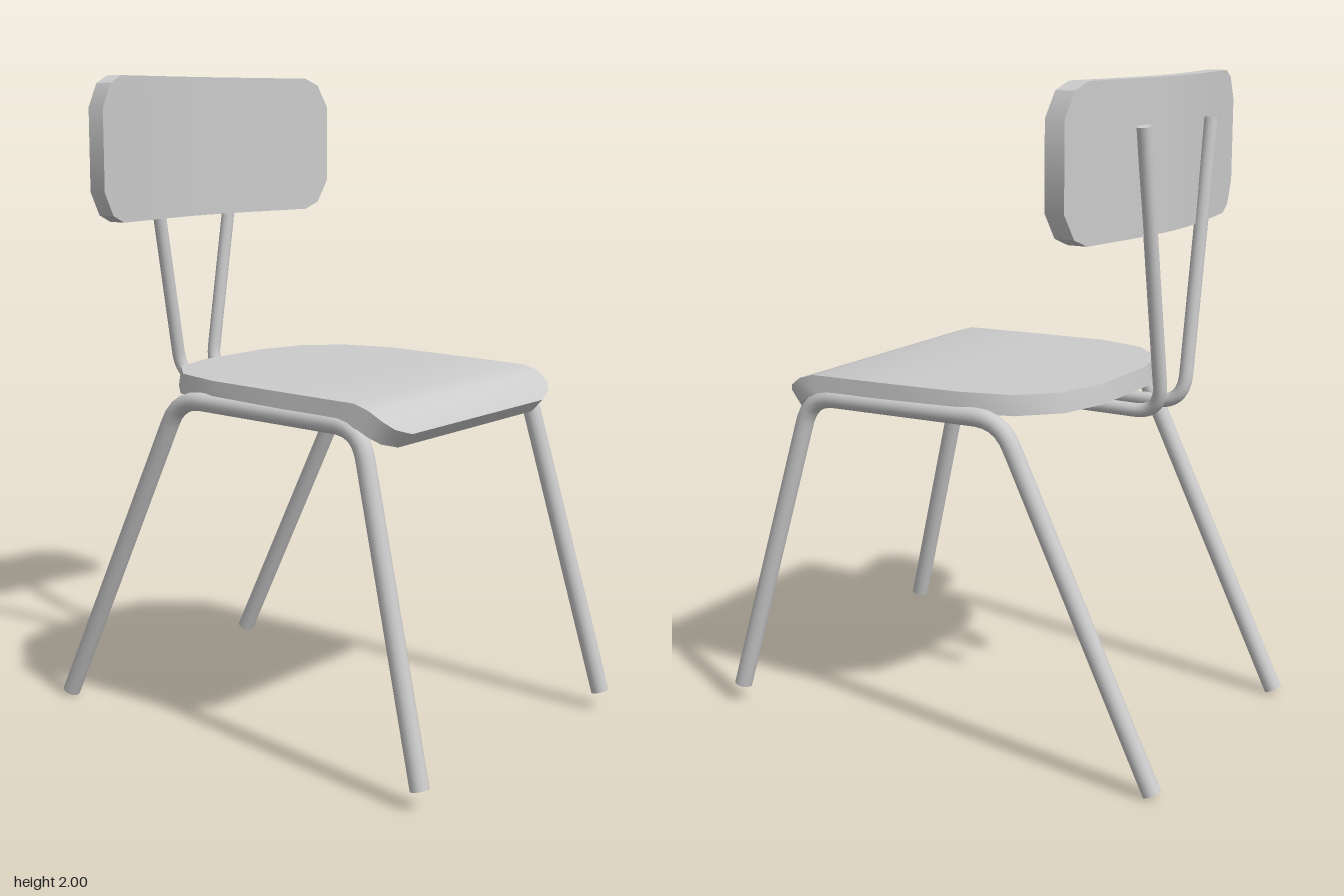
import * as THREE from 'three';
import { toCreasedNormals } from 'three/addons/utils/BufferGeometryUtils.js';

const material = new THREE.MeshStandardMaterial({ color: 0xcccccc });
const V = (x, y, z) => new THREE.Vector3(x, y, z);

// Solid skinned over four-cornered sections, each counterclockwise seen from the last one
function loft(name, sections) {
  const pos = [];
  const quad = (a, b, c, d) => [a, b, c, a, c, d].forEach((p) => pos.push(p.x, p.y, p.z));
  for (let i = 0; i < sections.length - 1; i++) {
    const s = sections[i], t = sections[i + 1];
    for (let j = 0; j < 4; j++) {
      const k = (j + 1) % 4;
      quad(s[j], s[k], t[k], t[j]);
    }
  }
  quad(...[...sections[0]].reverse());
  quad(...sections[sections.length - 1]);
  const geometry = new THREE.BufferGeometry();
  geometry.setAttribute('position', new THREE.Float32BufferAttribute(pos, 3));
  const mesh = new THREE.Mesh(toCreasedNormals(geometry, 0.6), material);
  mesh.name = name;
  return mesh;
}

// Bent tube through corner points, with rounded bends and flat end caps
function bentTube(name, points, radius, bend) {
  const path = new THREE.CurvePath();
  let from = points[0];
  for (let i = 1; i < points.length - 1; i++) {
    const p = points[i];
    const toward = (q) => p.clone().add(q.clone().sub(p).setLength(bend));
    const start = toward(points[i - 1]), end = toward(points[i + 1]);
    path.add(new THREE.LineCurve3(from, start));
    path.add(new THREE.QuadraticBezierCurve3(start, p, end));
    from = end;
  }
  const last = points[points.length - 1];
  path.add(new THREE.LineCurve3(from, last));

  const group = new THREE.Group();
  group.name = name;
  const tube = new THREE.Mesh(new THREE.TubeGeometry(path, 90, radius, 16), material);
  tube.name = name + 'Tube';
  group.add(tube);
  for (const [end, next] of [[points[0], points[1]], [last, points[points.length - 2]]]) {
    const cap = new THREE.Mesh(new THREE.CircleGeometry(radius, 16), material);
    cap.name = name + 'Cap';
    cap.position.copy(end);
    cap.lookAt(end.clone().multiplyScalar(2).sub(next));
    group.add(cap);
  }
  return group;
}

export function createModel() {
  const chair = new THREE.Group();
  chair.name = 'chair';

  // Seat, back to front: half width, top z, top y, bottom z, bottom y
  const seat = [
    [0.14, -0.382, 1.11, -0.39, 1.05],
    [0.295, -0.34, 1.11, -0.345, 1.05],
    [0.4, -0.235, 1.11, -0.24, 1.05],
    [0.445, -0.075, 1.11, -0.075, 1.05],
    [0.45, 0.2, 1.105, 0.2, 1.046],
    [0.45, 0.45, 1.1, 0.425, 1.04],
    [0.45, 0.5, 1.085, 0.465, 1.03],
    [0.438, 0.54, 1.057, 0.498, 1.008],
    [0.41, 0.563, 1.033, 0.52, 0.988],
    [0.35, 0.578, 1.014, 0.535, 0.972],
  ];
  chair.add(loft('seat', seat.map(([w, zt, yt, zb, yb]) => [
    V(w, yt, zt), V(-w, yt, zt), V(-w - 0.007, yb, zb), V(w + 0.007, yb, zb),
  ])));

  // Backrest, curved around the sitter: x and half height, mirrored
  const half = [[0.08, 0.22], [0.16, 0.22], [0.24, 0.22], [0.34, 0.22], [0.44, 0.22],
    [0.495, 0.197], [0.537, 0.125]];
  const stations = [...half.map(([x, h]) => [-x, h]).reverse(), [0, 0.22], ...half];
  chair.add(loft('backrest', stations.map(([x, h]) => {
    const back = -0.545 + 0.19 * (Math.hypot(x, 0.2) - 0.2);
    const front = back + 0.06;
    return [V(x, 1.78 + h, front), V(x, 1.78 - h, front), V(x, 1.78 - h, back), V(x, 1.78 + h, back)];
  })));

  for (const [side, s] of [['left', 1], ['right', -1]]) {
    // Front leg, seat rail and rear leg in one tube
    chair.add(bentTube(side + 'LegFrame', [
      V(s * 0.505, 0.06, 0.722), V(s * 0.44, 1.03, 0.465),
      V(s * 0.44, 1.042, -0.215), V(s * 0.44, 0.013, -0.718),
    ], 0.028, 0.085));

    // Backrest support running out from under the seat
    chair.add(bentTube(side + 'BackSupport', [
      V(s * 0.073, 1.027, -0.1), V(s * 0.073, 1.027, -0.545), V(s * 0.22, 1.87, -0.545),
    ], 0.021, 0.09));
  }
  return chair;
}
